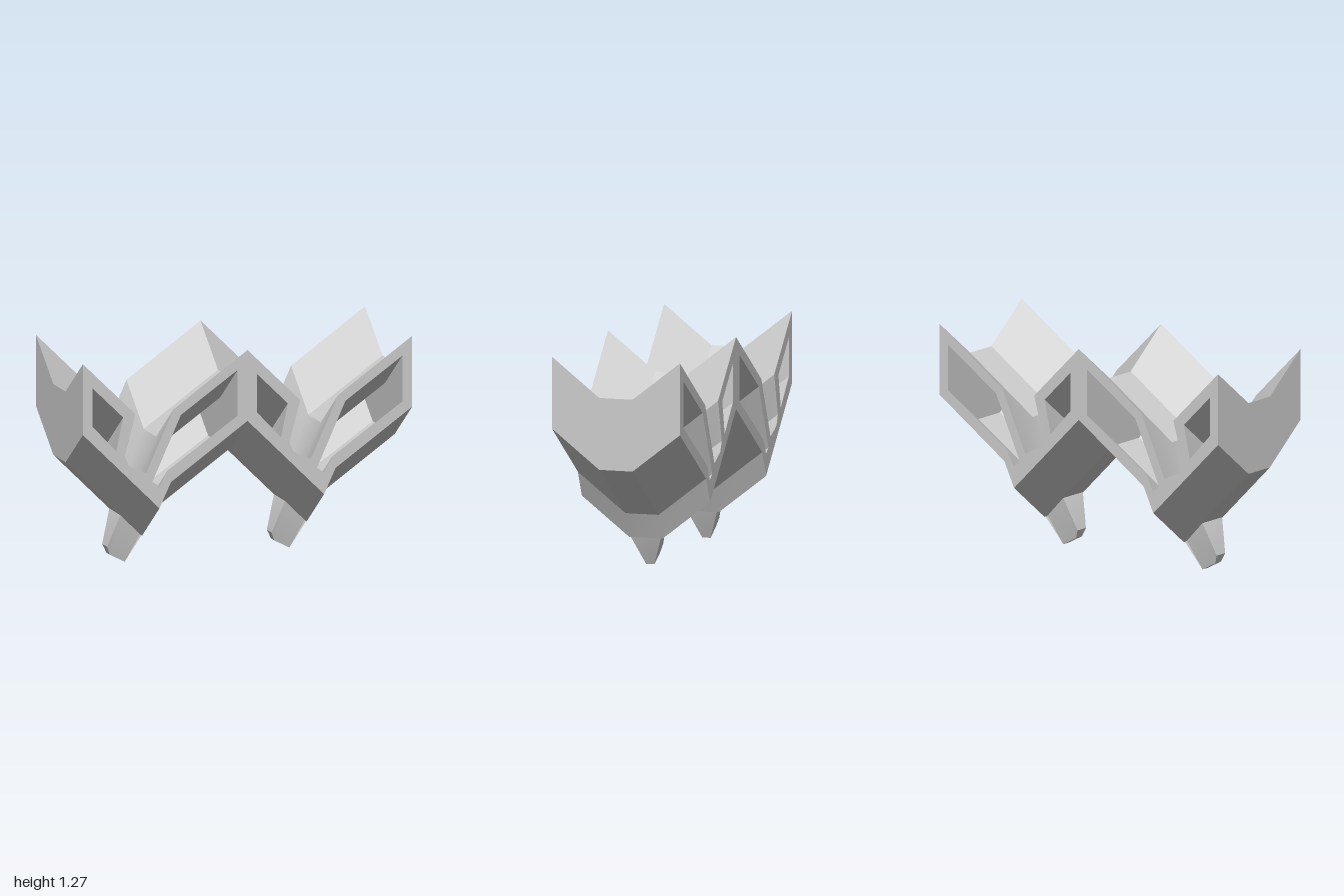
import * as THREE from 'three';
import { toCreasedNormals } from 'three/addons/utils/BufferGeometryUtils.js';

// One chevron unit spans x = -1..0; the second is the same, moved by 1
const UNITS = [0, 1];
const TOP = [[-1, 1.27], [-0.68, 0.95], [-0.745, 0.71], [-0.72, 0.65], [-0.615, 0.6], [-0.45, 0.96]];
const BOTTOM = [[0, 0.855], [-0.465, 0.535], [-0.535, 0.387]];
// Holes run counter-clockwise, against the outline
const SHORT_HOLE = [[-0.942, 0.9], [-0.797, 0.742], [-0.755, 0.937], [-0.942, 1.124]];
const LONG_HOLE = [[-0.06, 1.158], [-0.405, 0.923], [-0.578, 0.545], [-0.533, 0.515], [-0.485, 0.605], [-0.06, 0.89]];
const FOOT = [[-0.535, 0.163], [-0.612, 0], [-0.705, 0.05], [-0.725, 0.1], [-0.665, 0.285], [-0.645, 0.32], [-0.52, 0.21]];

const moved = (pts, dx) => pts.map(([x, y]) => new THREE.Vector2(x + dx, y));

// Apply a rule to every vertex
function reshape(geometry, rule) {
  const p = geometry.attributes.position;
  const v = new THREE.Vector3();
  for (let i = 0; i < p.count; i++) {
    rule(v.fromBufferAttribute(p, i));
    p.setXYZ(i, v.x, v.y, v.z);
  }
  return toCreasedNormals(geometry, THREE.MathUtils.degToRad(28));
}

// Hollow double chevron, with the middle band pushed down to form a keel
function bodyGeometry() {
  const outline = [
    ...UNITS.flatMap(dx => moved(TOP, dx)),
    new THREE.Vector2(1, 1.27),
    ...[...UNITS].reverse().flatMap(dx => moved(BOTTOM, dx)),
    new THREE.Vector2(-1, 0.855),
  ];
  const shape = new THREE.Shape(outline);
  for (const dx of UNITS) {
    for (const hole of [SHORT_HOLE, LONG_HOLE]) shape.holes.push(new THREE.Path(moved(hole, dx)));
  }
  const geometry = new THREE.ExtrudeGeometry(shape, { depth: 3, steps: 3, bevelEnabled: false });
  const stations = [-0.385, -0.1, 0.1, 0.385];
  return reshape(geometry, v => {
    const k = Math.round(v.z);
    v.z = stations[k];
    if (k === 1 || k === 2) v.y -= 0.224;
  });
}

// Slanted foot that narrows in z towards its tip
function footGeometry() {
  const shape = new THREE.Shape(moved(FOOT, 0));
  const geometry = new THREE.ExtrudeGeometry(shape, { depth: 2, bevelEnabled: false });
  return reshape(geometry, v => {
    const along = 0.43 * v.x + 0.9 * v.y;
    const t = THREE.MathUtils.clamp((along + 0.262) / 0.178, 0, 1);
    v.z = (v.z - 1) * THREE.MathUtils.lerp(0.025, 0.09, t);
  });
}

export function createModel() {
  const grey = new THREE.MeshStandardMaterial({ color: 0xcccccc });
  grey.name = 'light grey';

  const model = new THREE.Group();
  model.name = 'doubleChevron';

  const body = new THREE.Mesh(bodyGeometry(), grey);
  body.name = 'chevronBody';
  model.add(body);

  const footShape = footGeometry();
  for (const dx of UNITS) {
    const foot = new THREE.Mesh(footShape, grey);
    foot.name = dx ? 'leftFoot' : 'rightFoot';
    foot.position.x = dx;
    model.add(foot);
  }
  return model;
}
